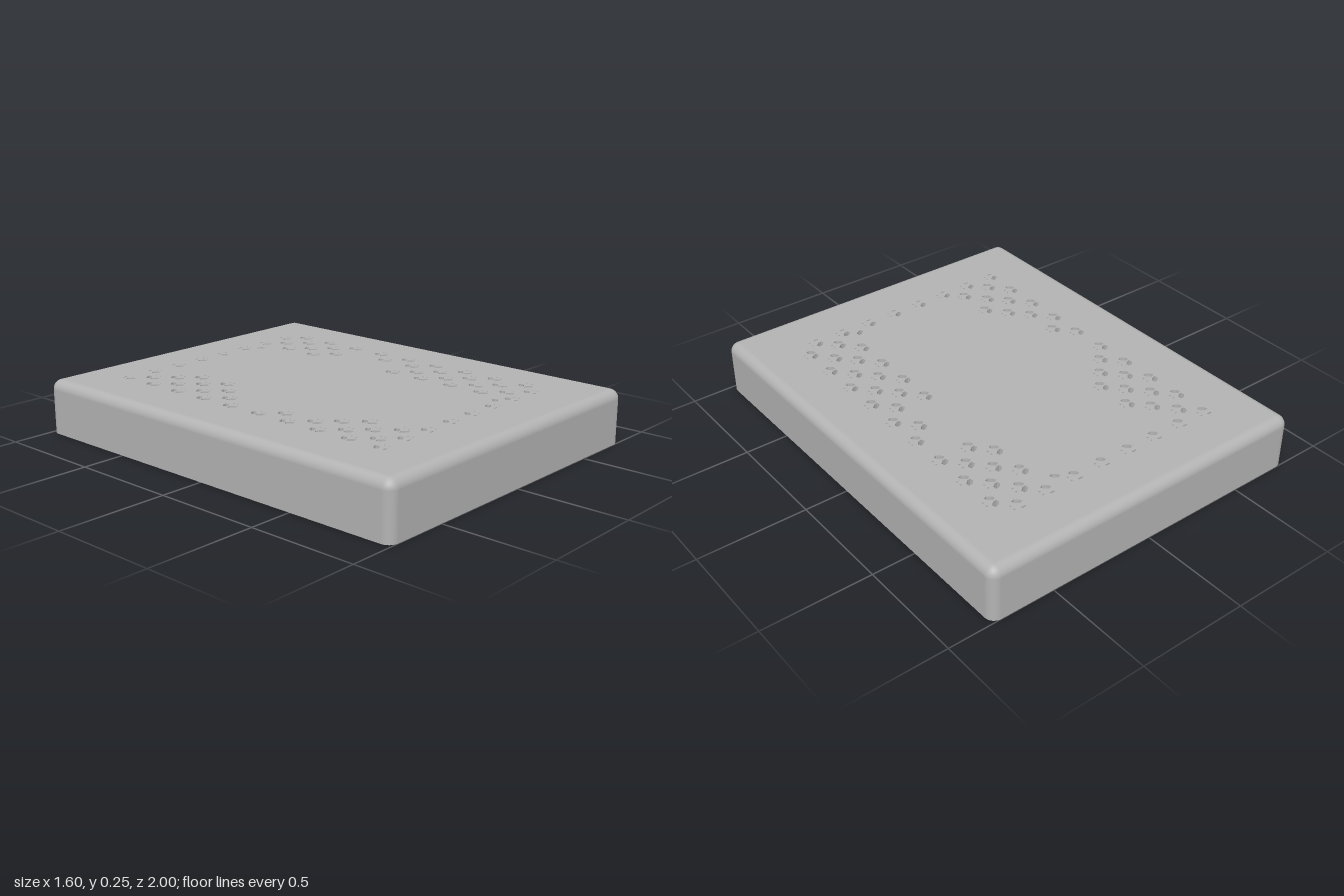
import * as THREE from 'three';

const HX = 0.8, HZ = 1, H = 0.25, R = 0.045, CEIL = 0.18, SKIN = 0.235;

// Sweeps a profile of [inset, y, normalOut, normalUp] around a rounded rectangle
function sweep(profile) {
  const pos = [], nor = [], idx = [], steps = 8;
  const corners = [[1, 1], [-1, 1], [-1, -1], [1, -1]];
  const n = 4 * (steps + 1);
  for (const [inset, y, no, nu] of profile) {
    corners.forEach(([sx, sz], c) => {
      for (let k = 0; k <= steps; k++) {
        const a = (c + k / steps) * Math.PI / 2, dx = Math.cos(a), dz = Math.sin(a);
        pos.push(sx * (HX - R) + dx * (R - inset), y, sz * (HZ - R) + dz * (R - inset));
        nor.push(dx * no, nu, dz * no);
      }
    });
  }
  for (let r = 0; r < profile.length - 1; r++) {
    for (let i = 0; i < n; i++) {
      const a = r * n + i, b = r * n + (i + 1) % n;
      idx.push(a, a + n, b, b, a + n, b + n);
    }
  }
  const g = new THREE.BufferGeometry();
  g.setAttribute('position', new THREE.Float32BufferAttribute(pos, 3));
  g.setAttribute('normal', new THREE.Float32BufferAttribute(nor, 3));
  g.setIndex(idx);
  return g;
}

// Closed hole outline from local points, turned and moved to (x, z)
function hole(points, x, z, angle = 0) {
  const c = Math.cos(angle), s = Math.sin(angle);
  return new THREE.Path(points.map(([u, v]) => new THREE.Vector2(x + u * c - v * s, -z + u * s + v * c)));
}
const polygon = (sides, r) => Array.from({ length: sides }, (_, i) => {
  const a = (i + 0.5) / sides * Math.PI * 2;
  return [r * Math.cos(a), r * Math.sin(a)];
});
const LEAF = [[-0.022, -0.004], [-0.008, -0.012], [0.014, -0.011], [0.022, 0.004], [0.008, 0.012], [-0.014, 0.011]];
const SLIT = [[-0.011, -0.004], [0.011, -0.004], [0.011, 0.004], [-0.011, 0.004]];

// Rows of vents present in each column
const EVEN = ['0123456789', '0123789', '09', '09', '09', '09', '01256789', '012456789'];
const ODD = ['01235678', '1278', '', '', '', '', '0125678', '012345678'];

function ventCells() {
  const cells = [];
  EVEN.forEach((rows, k) => [...rows].forEach(j => cells.push({ x: -0.545 + k * 0.1555 * 0.932, z: -0.752 + j * 0.1655, edge: j === '0' ? -1 : j === '9' ? 1 : 0 })));
  ODD.forEach((rows, k) => [...rows].forEach(j => cells.push({ x: -0.473 + k * 0.145, z: -0.672 + j * 0.1665, edge: 0 })));
  return cells;
}

function ventHoles(cells) {
  const out = [];
  for (const { x, z, edge } of cells) {
    for (const s of [-1, 1]) {
      if (edge === s) out.push(hole(SLIT, x, z + s * 0.021));
      else out.push(hole(LEAF, x, z + s * 0.02, -s * 0.7));
      out.push(hole(polygon(4, 0.005), x + 0.038, z + s * 0.012));
    }
  }
  // Single vents closing the oval between the side groups
  out.push(hole(LEAF, 0.25, -0.7, -0.7), hole(LEAF, 0.27, 0.69, 0.7));
  return out;
}

// Horizontal slab with vertical holes
function slab(y0, y1, holes) {
  const x = HX - R, z = HZ - R;
  const shape = new THREE.Shape([[-x, -z], [x, -z], [x, z], [-x, z]].map(p => new THREE.Vector2(...p)));
  shape.holes.push(...holes);
  return new THREE.ExtrudeGeometry(shape, { depth: y1 - y0, bevelEnabled: false })
    .rotateX(-Math.PI / 2).translate(0, y0, 0);
}

export function createModel() {
  const group = new THREE.Group();
  const grey = new THREE.MeshStandardMaterial({ color: 0xb3b3b3 });
  grey.name = 'plain grey';
  const add = (name, geometry) => {
    const m = new THREE.Mesh(geometry, grey);
    m.name = name;
    group.add(m);
    return m;
  };

  // Walls: outside with rounded top edge, bottom rim, inside
  const outer = [[0, 0, 1, 0]];
  for (let i = 0; i <= 8; i++) {
    const a = i / 8 * Math.PI / 2;
    outer.push([R * (1 - Math.cos(a)), H - R + R * Math.sin(a), Math.cos(a), Math.sin(a)]);
  }
  add('outerWall', sweep(outer));
  add('bottomRim', sweep([[R, 0, 0, -1], [0, 0, 0, -1]]));
  add('innerWall', sweep([[R, CEIL, -1, 0], [R, 0, -1, 0]]));

  // Top skin pierced by the small vents
  const cells = ventCells();
  add('topSkin', slab(SKIN, H, ventHoles(cells)));

  // Ceiling layer: same vents, with blind hexagonal pockets in the middle
  const pockets = [];
  for (let r = -4; r <= 4; r++) {
    for (let c = -2; c <= 2; c++) {
      const x = (c + (r % 2 ? 0.5 : 0)) * 0.166, z = r * 0.148;
      if (Math.abs(x) > 0.36) continue;
      const clear = cells.every(v => Math.abs(v.x + 0.01 - x) > 0.09 || Math.abs(v.z - z) > 0.105);
      if (clear) pockets.push(hole(polygon(6, 0.064), x, z));
    }
  }
  add('honeycombCeiling', slab(CEIL, SKIN, [...ventHoles(cells), ...pockets]));

  // Snap bumps inside the long walls
  for (const sx of [-1, 1]) {
    for (const z of [-0.51, 0.51]) {
      const bump = add('snapBump', new THREE.SphereGeometry(0.027, 16, 12));
      bump.scale.x = 0.6;
      bump.position.set(sx * (HX - R), 0.095, z);
    }
  }
  return group;
}
